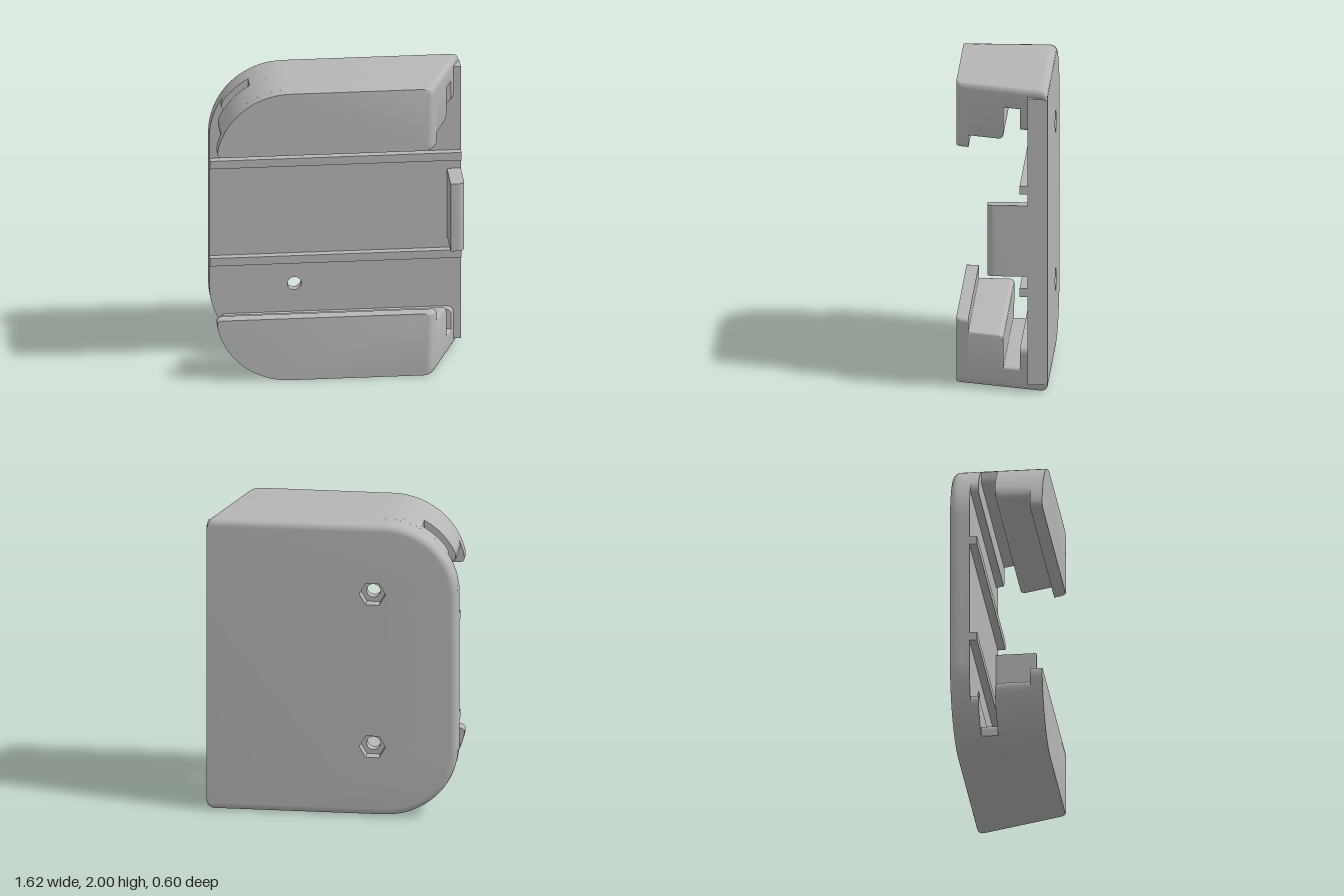
import * as THREE from 'three';
import { toCreasedNormals } from 'three/addons/utils/BufferGeometryUtils.js';

const R = 0.48, CX = -0.335;          // large left corner radius and its centre x
const LEFT = CX - R, RIGHT = 0.81;
const EDGE = 0.045;                   // soft edge around the back

// quarter-round drop: 0 at t = 0, 1 at t = 1
const round = t => 1 - Math.sqrt(1 - Math.min(1, Math.max(0, t)) ** 2);
// x of the sloping right end of the arms, eased at the front edge
const slant = z => 0.81 - (z + 0.3) * 0.372 - 0.03 * round((z - 0.26) / 0.04);
// outline points near x = 0.8 ride on the sloping end
const ride = (v, z) => { if (v.x > 0.7 && v.x < 0.805) v.x += slant(z) - 0.8; };

// extrude a shape through the listed z levels, applying a vertex rule at each
function slab(shape, zs, rule, mirror = false) {
  const n = zs.length - 1;
  const g = new THREE.ExtrudeGeometry(shape, { depth: n, steps: n, bevelEnabled: false, curveSegments: 8 });
  const p = g.attributes.position, v = new THREE.Vector3();
  const out = [];
  for (let i = 0; i < p.count; i++) {
    v.fromBufferAttribute(p, i);
    v.z = zs[Math.round(v.z)];
    rule(v, v.z);
    if (mirror) v.y = 2 - v.y;
    out.push(v.clone());
  }
  if (mirror) for (let i = 0; i < out.length; i += 3) [out[i + 1], out[i + 2]] = [out[i + 2], out[i + 1]];
  const geo = new THREE.BufferGeometry().setFromPoints(out);
  return toCreasedNormals(geo, 0.6);
}

// rounded-left plate outline with two holes of the given side count
function plateShape(holeRadius, sides) {
  const s = new THREE.Shape();
  s.moveTo(RIGHT, 0.05);
  s.lineTo(RIGHT, 1.95);
  s.lineTo(0.8, 1.95);
  s.quadraticCurveTo(0.8, 2, 0.76, 2);
  for (let i = 0; i <= 20; i++) {
    const a = Math.PI / 2 * (1 + i / 20);
    s.lineTo(CX + R * Math.cos(a), 2 - R + R * Math.sin(a));
  }
  for (let i = 0; i <= 20; i++) {
    const a = Math.PI * (1 + i / 40);
    s.lineTo(CX + R * Math.cos(a), R + R * Math.sin(a));
  }
  s.lineTo(0.76, 0);
  s.quadraticCurveTo(0.8, 0, 0.8, 0.05);
  for (const y of [0.475, 1.525]) {
    const pts = [];
    for (let i = 0; i < sides; i++) {
      const a = -i / sides * Math.PI * 2;
      pts.push(new THREE.Vector2(-0.265 + holeRadius * Math.cos(a), y + holeRadius * Math.sin(a)));
    }
    s.holes.push(new THREE.Path(pts));
  }
  return s;
}

// pull the plate rim inward toward the back
function plateRule(v, z) {
  ride(v, z);
  const cx = Math.max(CX, v.x), cy = Math.min(2 - R, Math.max(R, v.y));
  if (Math.hypot(v.x - cx, v.y - cy) < 0.3) return;
  const k = 1 - EDGE * round((EDGE - (z + 0.3)) / EDGE) / R;
  v.x = cx + (v.x - cx) * k;
  v.y = cy + (v.y - cy) * k;
}

// one layer of the lower arm: from the outer wall up to y = top
function armShape(top, left, r) {
  const s = new THREE.Shape();
  s.moveTo(CX, 0);
  const end = Math.acos((R - top + 0.03) / R);
  let x = CX;
  for (let i = 1; i <= 20; i++) {
    const a = end * i / 20;
    x = Math.max(left, CX - R * Math.sin(a));
    s.lineTo(x, R - R * Math.cos(a));
  }
  s.quadraticCurveTo(x, top, x + 0.04, top);
  s.lineTo(0.8 - r, top);
  s.quadraticCurveTo(0.8, top, 0.8, top - r);
  s.lineTo(0.8, 0.05);
  s.quadraticCurveTo(0.8, 0, 0.76, 0);
  s.closePath();
  return s;
}

export function createModel() {
  const group = new THREE.Group();
  const grey = new THREE.MeshStandardMaterial({ color: 0xb6b6b6 });
  grey.name = 'grey plastic';
  const add = (name, geo, parent = group) => {
    const m = new THREE.Mesh(geo, grey);
    m.name = name;
    parent.add(m);
    return m;
  };

  // back plate: hexagonal nut pockets behind, round screw holes in front
  add('backPlateRear', slab(plateShape(0.085, 6), [-0.3, -0.298, -0.293, -0.285, -0.272, -0.255, -0.23], plateRule));
  add('backPlateFront', slab(plateShape(0.045, 28), [-0.23, -0.17], plateRule));

  // upper and lower hooked arms, layered from the plate forward
  const blockRule = (v, z) => {
    ride(v, z);
    if (v.y > 0.3) v.y -= 0.03 * round((0.025 - z) / 0.035);
  };
  for (const mirror of [false, true]) {
    const arm = new THREE.Group();
    arm.name = mirror ? 'upperArm' : 'lowerArm';
    group.add(arm);
    add('slotRib', slab(armShape(0.28, -0.74, 0.05), [-0.17, -0.12], ride, mirror), arm);
    add('slotWall', slab(armShape(0.14, -0.57, 0.02), [-0.12, -0.01], ride, mirror), arm);
    add('armBlock', slab(armShape(0.35, -0.775, 0.02), [-0.01, -0.007, 0, 0.01, 0.025, 0.22], blockRule, mirror), arm);
    add('frontLip', slab(armShape(0.43, -0.805, 0.03), [0.22, 0.26, 0.275, 0.287, 0.295, 0.3], ride, mirror), arm);
  }

  // two thin rails across the plate
  for (const y of [0.6625, 1.3425]) {
    add('rail', new THREE.BoxGeometry(RIGHT - LEFT, 0.055, 0.06)).position.set((RIGHT + LEFT) / 2, y, -0.15);
  }

  // end stop on the right edge, drawn from above and extruded upward
  const stop = new THREE.Shape();
  stop.moveTo(0.72, 0.18);
  stop.lineTo(RIGHT, 0.18);
  stop.lineTo(RIGHT, -0.04);
  stop.quadraticCurveTo(RIGHT, -0.09, 0.76, -0.09);
  stop.lineTo(0.73, -0.09);
  stop.quadraticCurveTo(0.72, -0.09, 0.72, -0.08);
  stop.closePath();
  const stopGeo = new THREE.ExtrudeGeometry(stop, { depth: 0.47, bevelEnabled: false, curveSegments: 8 });
  stopGeo.rotateX(-Math.PI / 2);
  add('endStop', toCreasedNormals(stopGeo, 0.6)).position.y = 0.77;

  return group;
}
